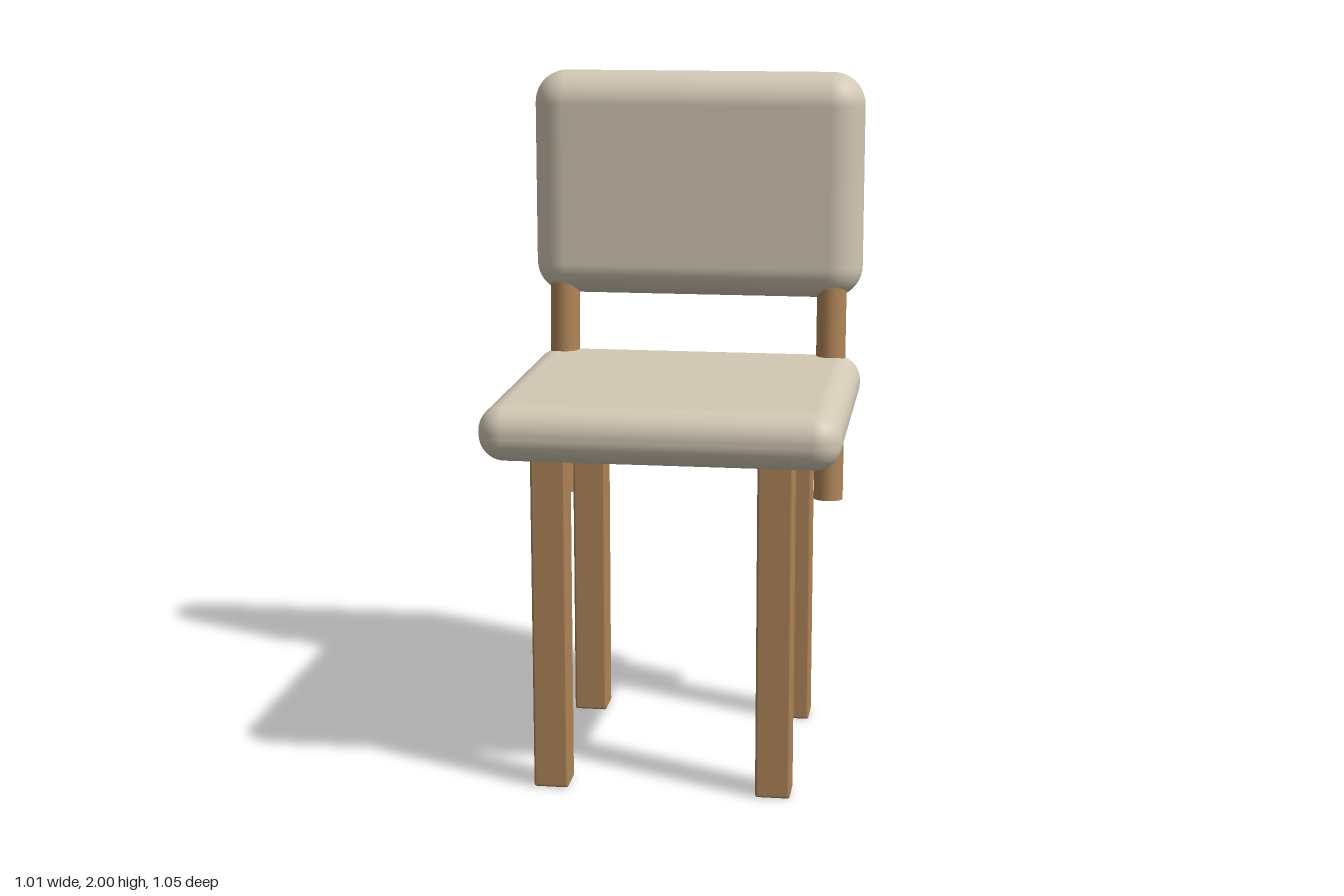
import * as THREE from 'three';
import { RoundedBoxGeometry } from 'three/addons/geometries/RoundedBoxGeometry.js';

export function createModel() {
  const chair = new THREE.Group();
  chair.name = 'chair';
  const fabric = new THREE.MeshStandardMaterial({ color: 0xd2c8b4 });
  const wood = new THREE.MeshStandardMaterial({ color: 0xb08558 });

  function add(name, geometry, material, x, y, z) {
    const mesh = new THREE.Mesh(geometry, material);
    mesh.name = name;
    mesh.position.set(x, y, z);
    chair.add(mesh);
    return mesh;
  }

  // Cushions
  add('seat', new RoundedBoxGeometry(1.01, 0.16, 0.98, 6, 0.075), fabric, 0, 1.06, 0.035);
  add('backrest', new RoundedBoxGeometry(1.01, 0.685, 0.2, 6, 0.098), fabric, 0, 1.6575, -0.425);

  // Square legs with softened edges, and round posts leaning slightly back
  const legGeometry = new RoundedBoxGeometry(0.1, 1.0, 0.1, 2, 0.008);
  const postGeometry = new THREE.CylinderGeometry(0.045, 0.045, 0.9, 32);
  for (const [side, s] of [['left', 1], ['right', -1]]) {
    add(side + 'FrontLeg', legGeometry, wood, s * 0.32, 0.505, 0.37);
    add(side + 'BackLeg', legGeometry, wood, s * 0.32, 0.505, -0.295);
    const post = add(side + 'BackPost', postGeometry, wood, s * 0.414, 1.142, -0.379);
    post.rotation.x = -0.053;
  }
  return chair;
}
